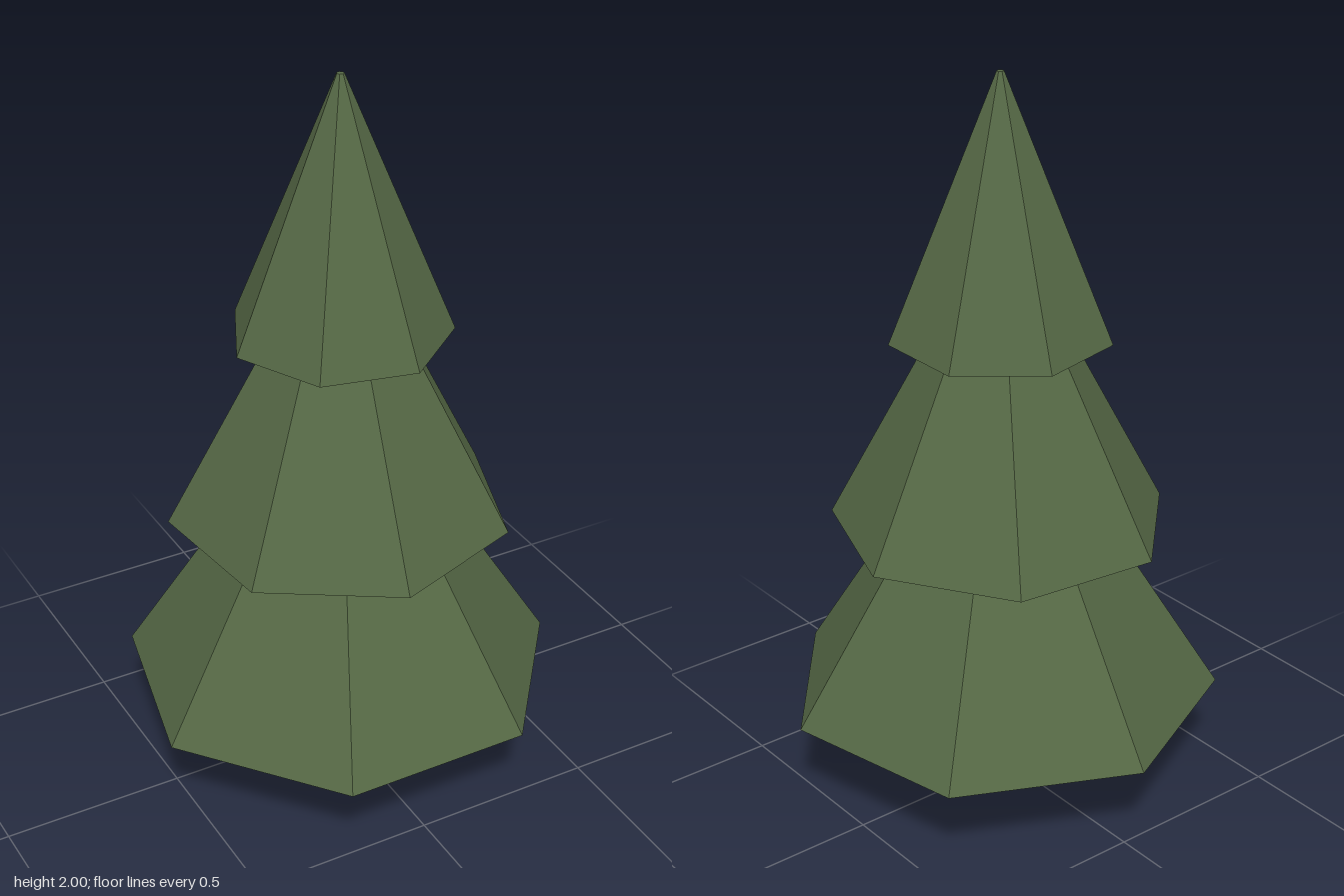
import * as THREE from 'three';

const SIDES = 7;
const AXIS_Z = 0.028; // the heptagons' shared axis, so the bounds are centred on z = 0

export function createModel() {
  const tree = new THREE.Group();
  tree.name = 'pineTree';

  const foliage = new THREE.MeshStandardMaterial({ color: 0x556845, flatShading: true });
  foliage.name = 'foliageGreen';
  const bark = new THREE.MeshStandardMaterial({ color: 0x665143, flatShading: true });
  bark.name = 'barkBrown';

  // A closed seven-sided frustum from y0 to y1, with one corner at the given angle
  function addFrustum(name, material, y0, y1, rBottom, rTop, degrees) {
    const geometry = new THREE.CylinderGeometry(
      rTop, rBottom, y1 - y0, SIDES, 1, false, THREE.MathUtils.degToRad(degrees));
    const mesh = new THREE.Mesh(geometry, material);
    mesh.name = name;
    mesh.position.set(0, (y0 + y1) / 2, AXIS_Z);
    tree.add(mesh);
  }

  // Trunk, tapering slightly and running into the lowest tier
  addFrustum('trunk', bark, 0, 0.3, 0.108, 0.096, 180);

  // Foliage tiers, each twisted and tucked into the one above
  addFrustum('lowerTier', foliage, 0.255, 0.85, 0.598, 0.224, 180);
  addFrustum('middleTier', foliage, 0.76, 1.38, 0.463, 0.136, -6.43);
  addFrustum('upperTier', foliage, 1.295, 2, 0.297, 0.01, -90);

  return tree;
}
